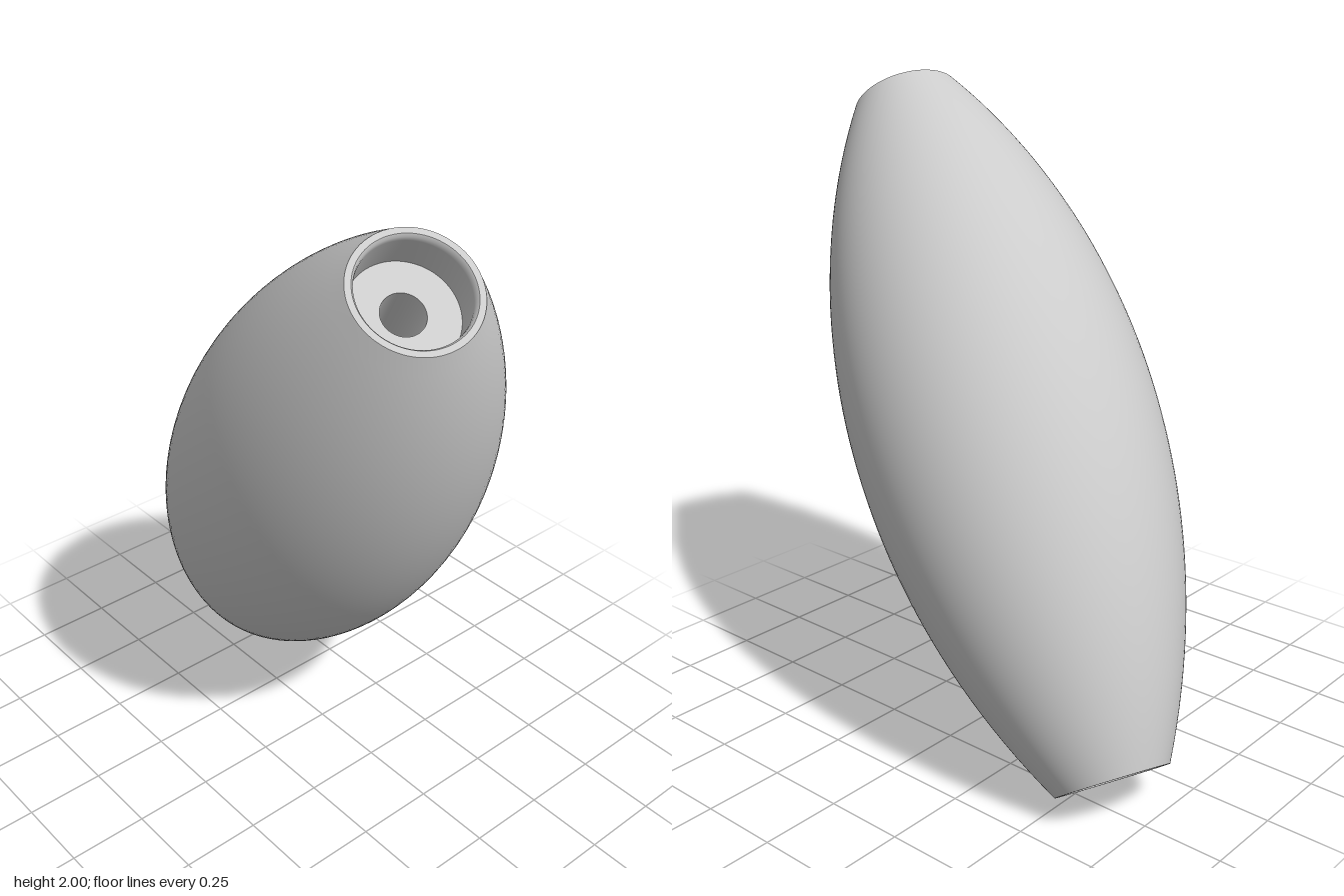
import * as THREE from 'three';

const HALF = 1.131;   // half length along the axis
const END_R = 0.173;  // radius at each end
const ARC_R = 2.29;   // radius of the bulging side arc
const ARC_C = 1.819;  // distance of the arc centre beyond the axis
const CUP_R = 0.148, CUP_DEPTH = 0.12, BORE_R = 0.06;

export function createModel() {
  const model = new THREE.Group();
  model.name = 'barrelBead';
  const material = new THREE.MeshStandardMaterial({ color: 0xcccccc });

  // Each smooth section is its own lathe, so the edges between them stay sharp
  const bead = new THREE.Group();
  bead.name = 'bead';
  const section = (name, points, parent) => {
    const profile = points.map(([r, y]) => new THREE.Vector2(r, y));
    const mesh = new THREE.Mesh(new THREE.LatheGeometry(profile, 96), material);
    mesh.name = name;
    parent.add(mesh);
  };

  // Bulging outer wall
  const wall = [];
  for (let i = 0; i <= 48; i++) {
    const y = HALF * (i / 24 - 1);
    wall.push([Math.sqrt(ARC_R * ARC_R - y * y) - ARC_C, y]);
  }
  section('outerWall', wall, bead);

  // Bore running the whole length
  const floorY = HALF - CUP_DEPTH;
  section('bore', [[BORE_R, floorY], [BORE_R, -floorY]], bead);

  // Recessed cup at both ends
  for (const end of ['top', 'bottom']) {
    const cup = new THREE.Group();
    cup.name = end + 'Cup';
    section('rim', [[END_R, HALF], [CUP_R + 0.008, HALF]], cup);
    section('cupWall', [[CUP_R + 0.008, HALF], [CUP_R + 0.002, HALF - 0.008], [CUP_R, HALF - 0.02], [CUP_R, floorY]], cup);
    section('cupFloor', [[CUP_R, floorY], [BORE_R, floorY]], cup);
    if (end === 'bottom') cup.rotation.x = Math.PI;
    bead.add(cup);
  }

  // Tilt onto the leaning axis
  const axis = new THREE.Vector3(0.566, 0.791, 0.23).normalize();
  bead.quaternion.setFromUnitVectors(new THREE.Vector3(0, 1, 0), axis);
  bead.position.y = 1;
  model.add(bead);
  return model;
}
